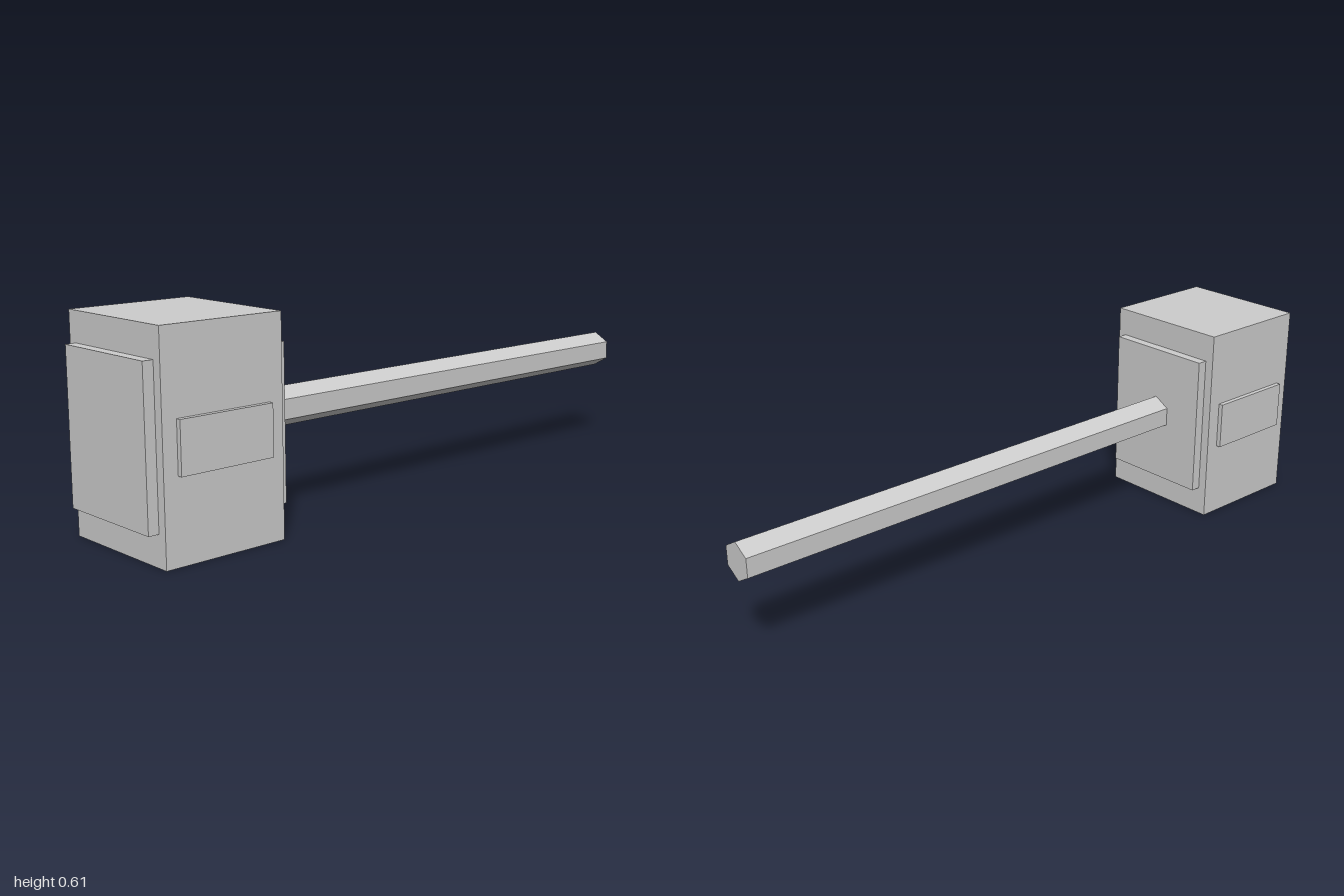
import * as THREE from 'three';

export function createModel() {
  const model = new THREE.Group();
  model.name = 'warHammer';
  const steel = new THREE.MeshStandardMaterial({ color: 0xcccccc });
  steel.name = 'lightGrey';

  const midY = 0.307;
  const headZ = 0.781;

  const addPart = (name, geometry, x, y, z) => {
    const mesh = new THREE.Mesh(geometry, steel);
    mesh.name = name;
    mesh.position.set(x, y, z);
    model.add(mesh);
  };

  // Tall block of the head
  addPart('head', new THREE.BoxGeometry(0.408, 0.613, 0.376), 0, 0.3065, headZ);

  // Raised plates on all four sides of the head
  for (const side of [-1, 1]) {
    addPart(side > 0 ? 'frontPlate' : 'backPlate',
      new THREE.BoxGeometry(0.352, 0.438, 0.031), 0, 0.308, headZ + side * 0.2035);
    addPart(side > 0 ? 'leftPlate' : 'rightPlate',
      new THREE.BoxGeometry(0.015, 0.145, 0.29), side * 0.211, midY, headZ);
  }

  // Six-sided handle with an edge on top, ending inside the head
  const handle = new THREE.CylinderGeometry(0.0575, 0.0575, 1.65, 6).toNonIndexed();
  handle.rotateX(Math.PI / 2);
  handle.computeVertexNormals();
  addPart('handle', handle, 0, 0.3095, -0.175);

  return model;
}
